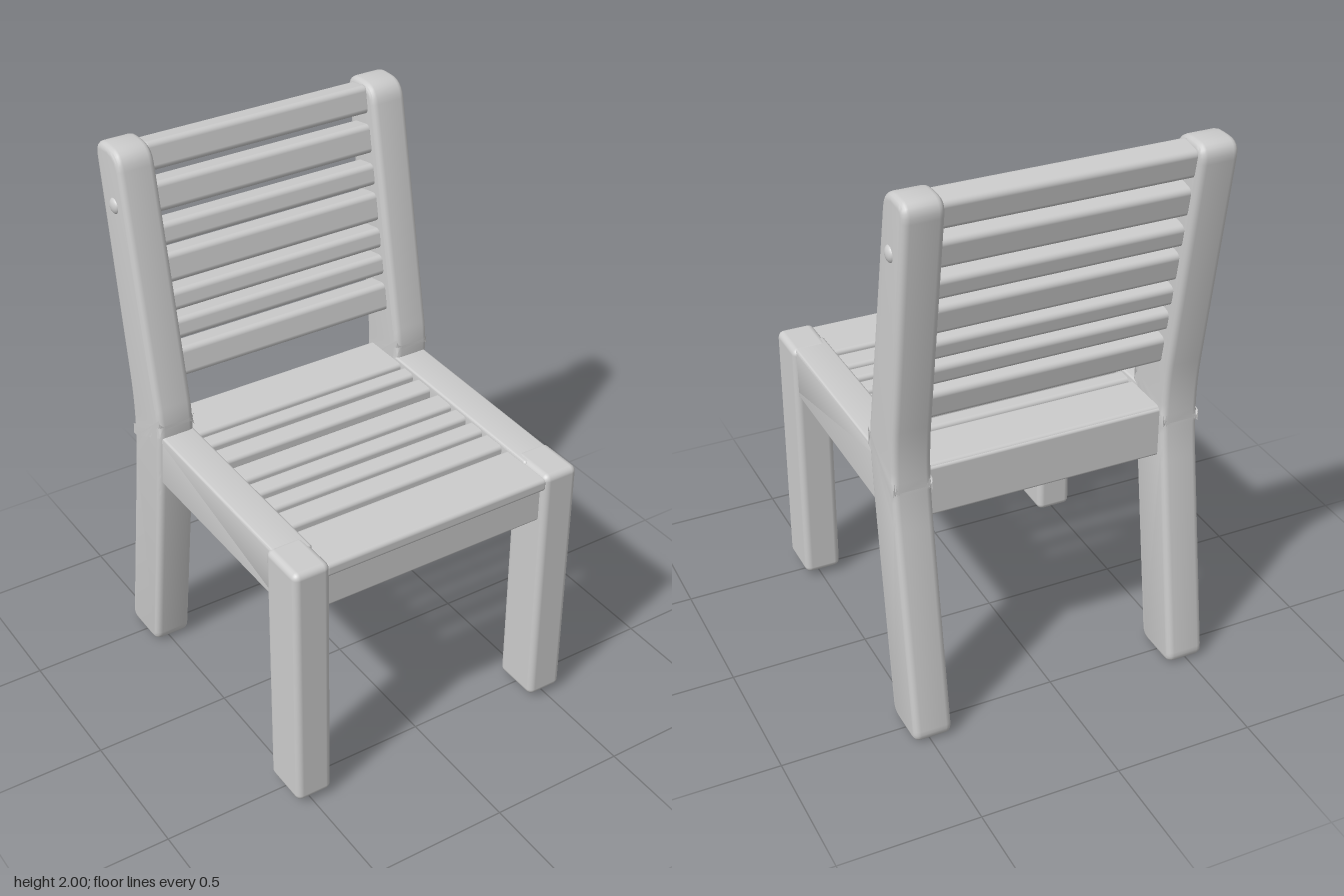
import * as THREE from 'three';
import { RoundedBoxGeometry } from 'three/addons/geometries/RoundedBoxGeometry.js';
import { toCreasedNormals } from 'three/addons/utils/BufferGeometryUtils.js';

const material = new THREE.MeshStandardMaterial({ color: 0xcccccc });

function add(parent, name, geometry) {
  const mesh = new THREE.Mesh(geometry, material);
  mesh.name = name;
  parent.add(mesh);
  return mesh;
}

// Rounded bar given by its limits on each axis
function bar(parent, name, [x0, x1], [y0, y1], [z0, z1], radius = 0.015) {
  const mesh = add(parent, name, new RoundedBoxGeometry(x1 - x0, y1 - y0, z1 - z0, 3, radius));
  mesh.position.set((x0 + x1) / 2, (y0 + y1) / 2, (z0 + z1) / 2);
  return mesh;
}

// Side profile of [z, y, corner radius] points, extruded from x0 to x1 with soft edges
function profileBar(parent, name, points, x0, x1, bevel) {
  const shape = new THREE.Shape();
  const n = points.length;
  points.forEach(([z, y, r], i) => {
    const corner = new THREE.Vector2(-z, y);
    const toward = ([pz, py]) => {
      const d = new THREE.Vector2(-pz, py).sub(corner);
      return corner.clone().addScaledVector(d.normalize(), r);
    };
    const a = toward(points[(i + n - 1) % n]), b = toward(points[(i + 1) % n]);
    if (i === 0) shape.moveTo(a.x, a.y);
    else shape.lineTo(a.x, a.y);
    shape.quadraticCurveTo(corner.x, corner.y, b.x, b.y);
  });
  shape.closePath();
  const geometry = new THREE.ExtrudeGeometry(shape, {
    depth: x1 - x0 - 2 * bevel, bevelThickness: bevel, bevelSize: bevel,
    bevelOffset: -bevel, bevelSegments: 4, curveSegments: 6,
  });
  geometry.translate(0, 0, x0 + bevel);
  geometry.rotateY(Math.PI / 2);
  return add(parent, name, toCreasedNormals(geometry, 0.6));
}

const REAR_POST = [
  [-0.405, 0, 0.045], [-0.29, 0.8, 0.06], [-0.268, 1.0, 0.05], [-0.27, 1.08, 0.04],
  [-0.455, 2, 0.065], [-0.618, 2, 0.065], [-0.465, 1.05, 0.12], [-0.475, 0.87, 0.08],
  [-0.608, 0, 0.05],
];
const SIDE_RAIL = [
  [-0.36, 0.8, 0.012], [-0.36, 1.005, 0.012], [0.5, 0.99, 0.012], [0.5, 0.8, 0.012],
];

export function createModel() {
  const chair = new THREE.Group();
  chair.name = 'chair';

  // Legs, side rails and bolt caps on both sides
  for (const side of [1, -1]) {
    const span = (a, b) => (side > 0 ? [a, b] : [-b, -a]);
    const label = side > 0 ? 'left' : 'right';
    const frame = new THREE.Group();
    frame.name = label + 'Frame';
    chair.add(frame);
    bar(frame, label + 'FrontLeg', span(0.424, 0.56), [0.02, 0.992], [0.432, 0.613], 0.024);
    profileBar(frame, label + 'RearPost', REAR_POST, ...span(0.422, 0.558), 0.022);
    profileBar(frame, label + 'SideRail', SIDE_RAIL, ...span(0.422, 0.548), 0.01);
    const cap = add(frame, label + 'BoltCap', new THREE.SphereGeometry(0.029, 20, 12));
    cap.scale.x = 0.6;
    cap.position.set(side * 0.553, 1.8, -0.495);
  }

  // Aprons under the seat
  bar(chair, 'frontApron', [-0.44, 0.44], [0.8, 0.945], [0.51, 0.585], 0.01);
  bar(chair, 'rearApron', [-0.44, 0.44], [0.8, 0.985], [-0.445, -0.36], 0.01);

  // Seat slats from back to front
  const seat = new THREE.Group();
  seat.name = 'seat';
  chair.add(seat);
  [[-0.44, -0.245], [-0.23, -0.165], [-0.14, -0.055], [-0.02, 0.072], [0.09, 0.162],
    [0.185, 0.258], [0.275, 0.37], [0.393, 0.605]].forEach((z, i) => {
    const top = 0.992 - 0.014 * (z[0] + 0.44);
    bar(seat, 'seatSlat' + (i + 1), [-0.44, 0.44], [top - 0.05, top], z);
  });

  // Back slats, leaning with the rear posts
  const back = new THREE.Group();
  back.name = 'backrest';
  chair.add(back);
  [[1.165, 1.27], [1.3, 1.375], [1.4, 1.475], [1.5, 1.605], [1.63, 1.71],
    [1.745, 1.85], [1.885, 1.985]].forEach(([y0, y1], i) => {
    const y = (y0 + y1) / 2, z = -0.385 - (y - 1.165) * 0.19;
    const slat = bar(back, 'backSlat' + (i + 1), [-0.44, 0.44], [y0, y1], [z - 0.05, z + 0.05], 0.02);
    slat.rotation.x = -0.18;
  });

  return chair;
}
